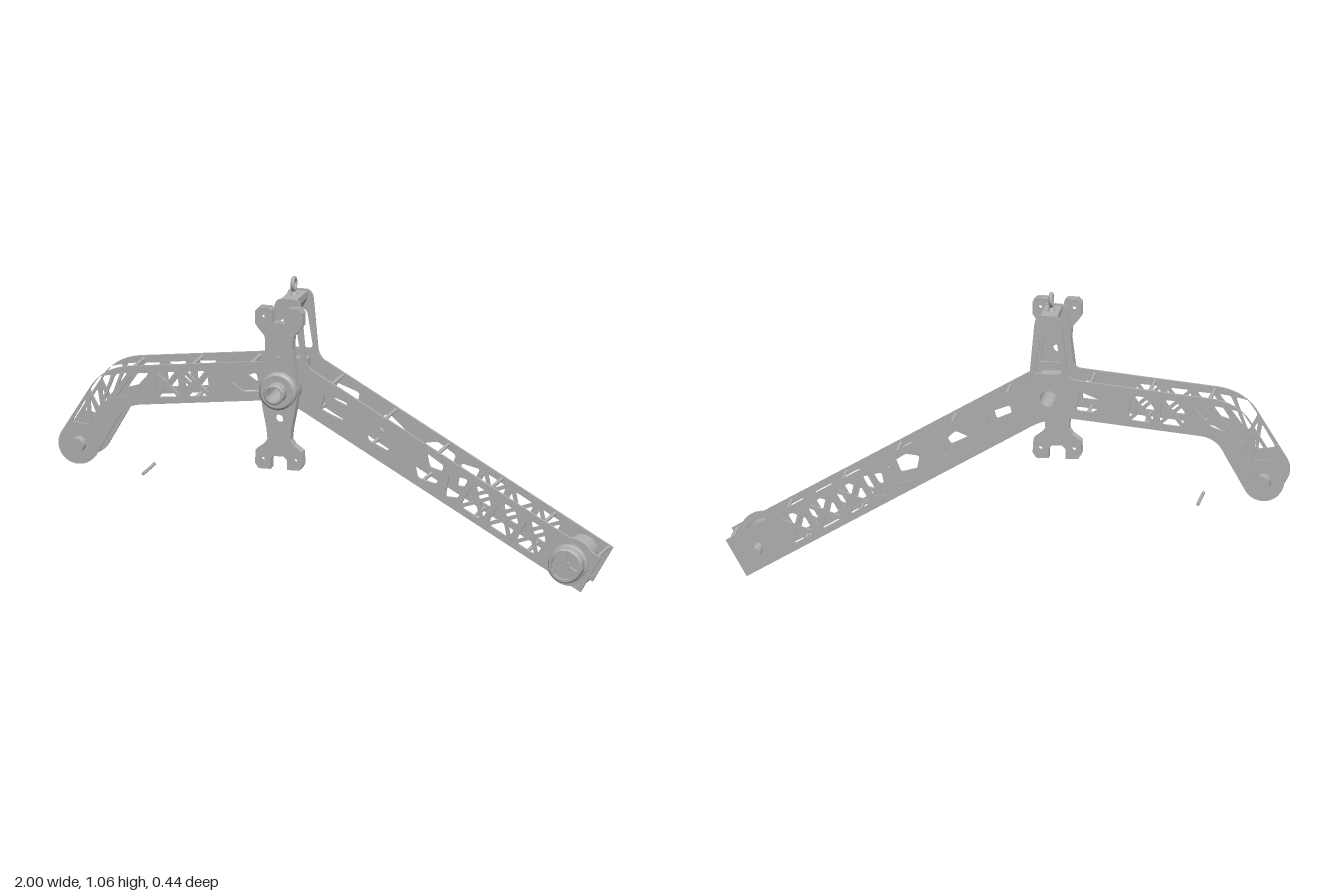
import * as THREE from 'three';
import { toCreasedNormals } from 'three/addons/utils/BufferGeometryUtils.js';

const V = (x, y) => new THREE.Vector2(x, y);
const HUB = { x: -0.155, y: 0.7 };
const MOTOR = { x: 0.885, y: 0.113 };
const PIVOT = { x: -0.925, y: 0.425 };

// Point on the long arm: s = distance from its end, v = offset across it
const arm = (s, v) => V(0.9625 - 0.866 * s + 0.5 * v, 0.07 + 0.5 * s + 0.866 * v);

const circle = (x, y, r) => new THREE.Path().absarc(x, y, r, 0, Math.PI * 2, true);

// Polygon hole with softened corners
function softHole(pts) {
  const path = new THREE.Path();
  pts.forEach((p, i) => {
    const prev = pts[(i + pts.length - 1) % pts.length], next = pts[(i + 1) % pts.length];
    const a = p.clone().lerp(prev, 0.15), b = p.clone().lerp(next, 0.15);
    if (i === 0) path.moveTo(a.x, a.y); else path.lineTo(a.x, a.y);
    path.quadraticCurveTo(p.x, p.y, b.x, b.y);
  });
  path.closePath();
  return path;
}

// Cross-braced bays: four triangular holes in each bay
function trussHoles(at, s0, s1, bays, h) {
  const holes = [], len = (s1 - s0) / bays;
  for (let i = 0; i < bays; i++) {
    const a = s0 + i * len + 0.008, b = s0 + (i + 1) * len - 0.008, m = (a + b) / 2;
    const corners = [[a, -h], [b, -h], [b, h], [a, h]];
    corners.forEach((c, k) => {
      const d = corners[(k + 1) % 4], tri = [c, d, [m, 0]];
      const cx = (c[0] + d[0] + m) / 3, cy = (c[1] + d[1]) / 3;
      holes.push(softHole(tri.map(([s, v]) => at(cx + (s - cx) * 0.74, cy + (v - cy) * 0.74))));
    });
  }
  return holes;
}

// Side plate: curved short arm, tower and long straight arm
function sidePlateShape() {
  const s = new THREE.Shape();
  s.moveTo(-0.72, 0.722);
  s.quadraticCurveTo(-0.83, 0.715, -0.88, 0.64);
  s.lineTo(-0.99, 0.463);
  s.absarc(PIVOT.x, PIVOT.y, 0.075, 2.62, 5.82, false);
  s.lineTo(-0.785, 0.52);
  s.quadraticCurveTo(-0.76, 0.575, -0.7, 0.582);
  s.lineTo(-0.26, 0.627);
  s.quadraticCurveTo(-0.155, 0.637, -0.075, 0.584);
  const ends = [arm(0, -0.075), arm(0, 0.075), arm(1.23, 0.075)];
  ends.forEach(p => s.lineTo(p.x, p.y));
  s.quadraticCurveTo(-0.084, 0.765, -0.088, 0.79);
  s.lineTo(-0.105, 0.97);
  s.quadraticCurveTo(-0.108, 1.005, -0.135, 1.005);
  s.lineTo(-0.175, 1.005);
  s.quadraticCurveTo(-0.202, 1.005, -0.205, 0.97);
  s.lineTo(-0.222, 0.8);
  s.quadraticCurveTo(-0.227, 0.772, -0.255, 0.77);
  s.closePath();

  const polys = [
    // tower window
    [V(-0.205, 0.79), V(-0.105, 0.79), V(-0.128, 0.93), V(-0.182, 0.93)],
    // bend
    [V(-0.95, 0.505), V(-0.9, 0.59), V(-0.885, 0.495)],
    [V(-0.885, 0.6), V(-0.86, 0.54), V(-0.875, 0.495)],
    [V(-0.885, 0.625), V(-0.85, 0.675), V(-0.805, 0.685), V(-0.85, 0.56)],
    [V(-0.79, 0.688), V(-0.745, 0.695), V(-0.835, 0.575)],
    [V(-0.725, 0.695), V(-0.665, 0.7), V(-0.74, 0.615), V(-0.79, 0.6)],
    // short arm beside the hub
    [V(-0.365, 0.69), V(-0.27, 0.73), V(-0.255, 0.66), V(-0.315, 0.655)],
    // long arm
    [arm(1.15, 0.03), arm(1.06, 0.045), arm(1.04, -0.02), arm(1.13, -0.03)],
    [arm(0.96, 0.0), arm(0.93, 0.04), arm(0.85, 0.02), arm(0.85, -0.025), arm(0.93, -0.03)],
    [arm(0.77, 0.02), arm(0.73, 0.05), arm(0.65, 0.045), arm(0.64, -0.03), arm(0.71, -0.048)],
    [arm(0.62, 0.03), arm(0.55, 0.05), arm(0.55, -0.03), arm(0.59, -0.05)],
  ];
  s.holes.push(...polys.map(softHole));
  s.holes.push(...trussHoles(arm, 0.19, 0.54, 3, 0.056));
  s.holes.push(...trussHoles((x, v) => V(x - 0.1 * v, 0.72 + 0.096 * x + v), -0.655, -0.435, 2, 0.05));
  s.holes.push(circle(HUB.x, HUB.y, 0.03));
  return s;
}

// Half outline of the hanger bracket, x measured from its centre line
const HANGER = [[0.025, 0.945], [0.025, 0.99], [0.035, 1], [0.075, 1], [0.088, 0.985], [0.088, 0.94],
  [0.075, 0.922], [0.052, 0.895], [0.05, 0.85], [0.06, 0.77], [0.07, 0.7], [0.06, 0.63], [0.046, 0.56],
  [0.042, 0.52], [0.055, 0.5], [0.085, 0.478], [0.088, 0.43], [0.075, 0.41], [0.03, 0.41], [0.03, 0.445], [0.018, 0.458]];

function hangerShape(half, bolts) {
  const right = half.map(([x, y]) => V(HUB.x + x, y));
  const left = half.map(([x, y]) => V(HUB.x - x, y)).reverse();
  const s = new THREE.Shape([...right, ...left]);
  s.holes.push(circle(HUB.x, 0.815, 0.016), circle(HUB.x, 0.595, 0.016), circle(HUB.x, HUB.y, 0.045));
  if (bolts) for (const x of [-0.06, 0.06]) for (const y of [0.965, 0.445]) s.holes.push(circle(HUB.x + x, y, 0.008));
  return s;
}

export function createModel() {
  const group = new THREE.Group();
  const grey = new THREE.MeshStandardMaterial({ color: 0xb0b0b0 });
  grey.name = 'plain grey';

  const add = (name, geo, x = 0, y = 0, z = 0) => {
    const mesh = new THREE.Mesh(geo, grey);
    mesh.name = name;
    mesh.position.set(x, y, z);
    group.add(mesh);
    return mesh;
  };
  const plate = (name, shape, z0, z1) =>
    add(name, new THREE.ExtrudeGeometry(shape, { depth: z1 - z0, bevelEnabled: false, curveSegments: 10 }), 0, 0, z0);
  const rod = (name, p, r, z0, z1, seg = 32) =>
    add(name, new THREE.CylinderGeometry(r, r, z1 - z0, seg).rotateX(Math.PI / 2), p.x, p.y, (z0 + z1) / 2);
  const turned = (name, p, profile) => add(name, toCreasedNormals(
    new THREE.LatheGeometry(profile.map(([r, z]) => V(r, z)), 40).rotateX(Math.PI / 2), 0.5), p.x, p.y, 0);

  // Twin side plates
  const side = sidePlateShape();
  plate('frontSidePlate', side, 0.02, 0.03);
  plate('backSidePlate', side, -0.14, -0.13);

  // Standoffs joining the plates
  const spots = [V(-0.73, 0.71), V(-0.515, 0.732), V(-0.3, 0.752), V(-0.7, 0.596), V(-0.5, 0.614), V(-0.29, 0.634)];
  for (let i = 0; i < 6; i++) {
    const s = 0.015 + i * 0.226;
    spots.push(arm(s, 0.064), arm(s, -0.064));
  }
  spots.forEach(p => rod('standoff', p, 0.007, -0.142, 0.032, 12));
  rod('loosePin', V(-0.69, 0.327), 0.006, -0.13, 0.02, 12);

  // Pivot tube at the tip of the short arm
  rod('pivotTube', PIVOT, 0.023, -0.13, 0.02);
  rod('pivotCapFront', PIVOT, 0.028, 0.02, 0.072);
  rod('pivotCapBack', PIVOT, 0.028, -0.185, -0.13);

  // Block between the plates at the hub
  const block = new THREE.Shape([V(-0.2, 0.66), V(-0.115, 0.66), V(-0.115, 0.76), V(-0.2, 0.76)]);
  block.holes.push(circle(HUB.x, HUB.y, 0.03));
  plate('hubBlock', block, -0.13, 0.02);

  // Tower crossbar and lifting eye
  plate('towerCrossbar', new THREE.Shape([[-0.012, 0.94], [0.012, 0.94], [0.03, 0.975], [0.03, 1], [-0.03, 1], [-0.03, 0.975]]
    .map(([x, y]) => V(HUB.x + x, y))), -0.13, 0.02);
  add('eyeBoltShank', new THREE.CylinderGeometry(0.008, 0.008, 0.095, 16), HUB.x, 0.9725, -0.055);
  add('eyeBoltCollar', new THREE.CylinderGeometry(0.009, 0.014, 0.012, 16), HUB.x, 1.007, -0.055);
  add('eyeBoltRing', new THREE.TorusGeometry(0.021, 0.007, 12, 32).rotateY(Math.PI / 2), HUB.x, 1.042, -0.055);

  // Hanger bracket: two plates around a spacer
  const hanger = hangerShape(HANGER, true);
  plate('hangerFrontPlate', hanger, 0.131, 0.146);
  plate('hangerBackPlate', hanger, 0.106, 0.121);
  plate('hangerSpacer', hangerShape(HANGER.filter(([x, y]) => y > 0.475 && y < 0.93), false), 0.121, 0.131);

  // Hollow hub carrying the bracket
  turned('hub', HUB, [[0.027, 0.03], [0.037, 0.03], [0.037, 0.075], [0.06, 0.075], [0.068, 0.083], [0.068, 0.167],
    [0.06, 0.175], [0.037, 0.175], [0.037, 0.215], [0.033, 0.22], [0.027, 0.22], [0.027, 0.03]]);

  // Motor, mount disc and shaft
  rod('motorBody', MOTOR, 0.063, -0.13, 0.02, 48);
  rod('motorMountDisc', MOTOR, 0.088, 0.0195, 0.0305, 48);
  rod('motorShaft', MOTOR, 0.018, -0.22, -0.13);

  // Pulley with flanges, recessed face and three spokes
  turned('pulley', MOTOR, [[0, 0.03], [0.05, 0.03], [0.05, 0.037], [0.072, 0.037], [0.072, 0.041], [0.054, 0.041],
    [0.054, 0.047], [0.07, 0.047], [0.07, 0.051], [0.063, 0.055], [0.063, 0.092], [0.058, 0.098], [0.05, 0.098],
    [0.05, 0.082], [0, 0.082]]);
  rod('pulleyBoss', MOTOR, 0.018, 0.08, 0.097);
  for (let i = 0; i < 3; i++) {
    const a = Math.PI / 2 + i * Math.PI * 2 / 3;
    add('pulleySpoke', new THREE.BoxGeometry(0.04, 0.014, 0.014).translate(0.032, 0, 0).rotateZ(a), MOTOR.x, MOTOR.y, 0.088);
  }
  return group;
}
